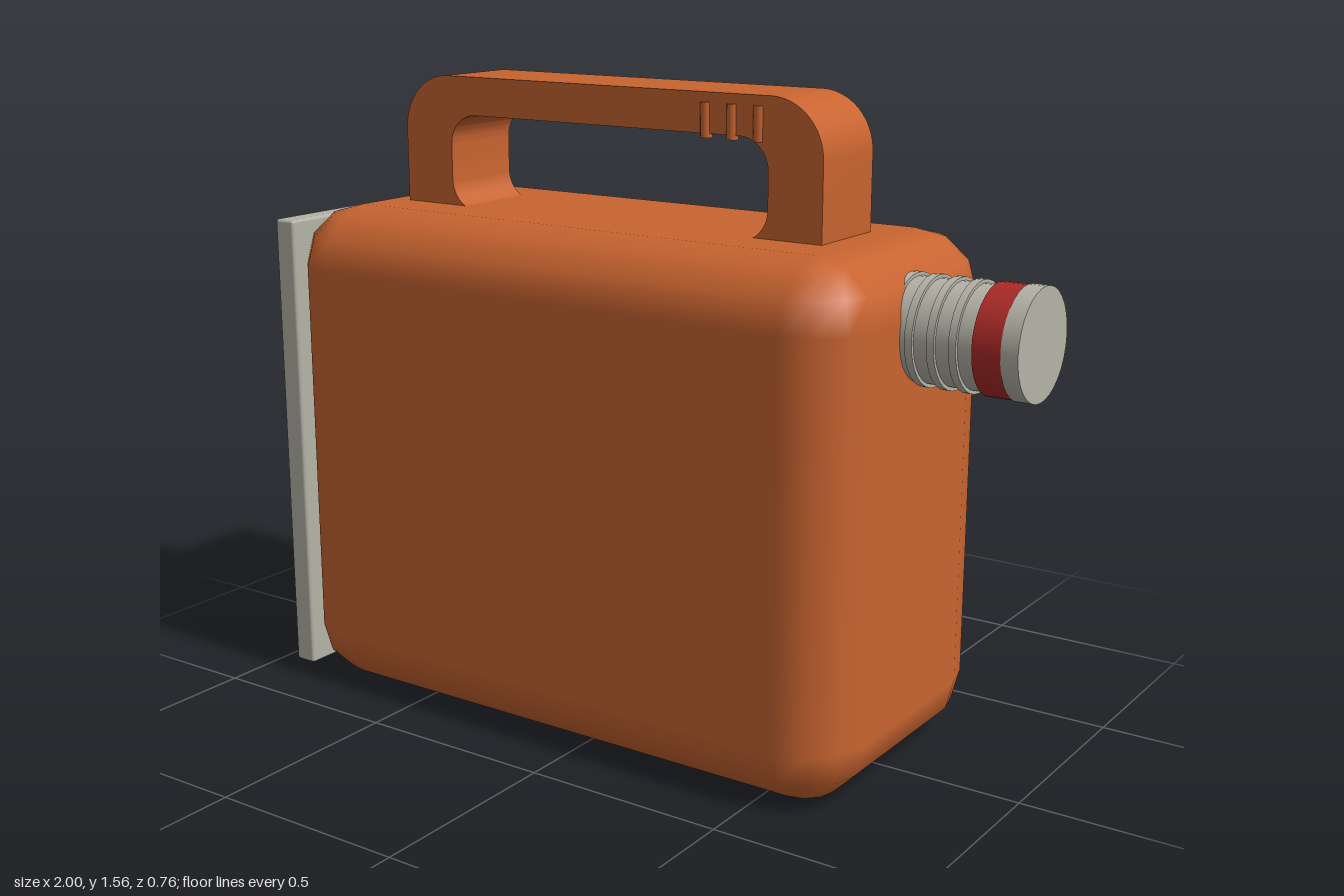
import * as THREE from 'three';
import { toCreasedNormals } from 'three/addons/utils/BufferGeometryUtils.js';
import { RoundedBoxGeometry } from 'three/addons/geometries/RoundedBoxGeometry.js';

const paint = (color) => new THREE.MeshStandardMaterial({ color, roughness: 0.8 });

// Box with rounded edges, lofted from rounded-rectangle rings
function softBox(w, h, d, r, steps) {
  const pos = [], nor = [], idx = [];
  const ring = 4 * (steps + 1), rows = 2 * (steps + 1);
  for (let j = 0; j < rows; j++) {
    const top = j > steps;
    const lat = ((top ? j - steps - 1 : j - steps) / steps) * Math.PI / 2;
    for (let c = 0; c < 4; c++) {
      const sx = c === 0 || c === 3 ? 1 : -1, sz = c < 2 ? 1 : -1;
      for (let k = 0; k <= steps; k++) {
        const a = (c + k / steps) * Math.PI / 2;
        const n = [Math.cos(lat) * Math.cos(a), Math.sin(lat), Math.cos(lat) * Math.sin(a)];
        pos.push(sx * (w / 2 - r) + r * n[0], (top ? 1 : -1) * (h / 2 - r) + r * n[1], sz * (d / 2 - r) + r * n[2]);
        nor.push(...n);
      }
    }
  }
  for (let j = 0; j < rows - 1; j++) {
    for (let i = 0; i < ring; i++) {
      const a = j * ring + i, b = j * ring + (i + 1) % ring;
      idx.push(a, a + ring, b, b, a + ring, b + ring);
    }
  }
  // Flat bottom and top between the four corners
  const q = steps + 1, t = (rows - 1) * ring;
  idx.push(0, q, 2 * q, 0, 2 * q, 3 * q, t, t + 2 * q, t + q, t, t + 3 * q, t + 2 * q);
  const g = new THREE.BufferGeometry();
  g.setAttribute('position', new THREE.Float32BufferAttribute(pos, 3));
  g.setAttribute('normal', new THREE.Float32BufferAttribute(nor, 3));
  g.setIndex(idx);
  return g;
}

function roundedRect(path, x0, y0, x1, y1, r) {
  path.moveTo(x0 + r, y0);
  path.lineTo(x1 - r, y0);
  path.absarc(x1 - r, y0 + r, r, -Math.PI / 2, 0);
  path.lineTo(x1, y1 - r);
  path.absarc(x1 - r, y1 - r, r, 0, Math.PI / 2);
  path.lineTo(x0 + r, y1);
  path.absarc(x0 + r, y1 - r, r, Math.PI / 2, Math.PI);
  path.lineTo(x0, y0 + r);
  path.absarc(x0 + r, y0 + r, r, Math.PI, Math.PI * 1.5);
  return path;
}

export function createModel() {
  const model = new THREE.Group();
  const orange = paint(0xc86430), grey = paint(0xb5b3a7), red = paint(0xac2a28);

  const add = (name, geometry, material, x = 0, y = 0, z = 0, parent = model) => {
    const mesh = new THREE.Mesh(geometry, material);
    mesh.name = name;
    mesh.position.set(x, y, z);
    parent.add(mesh);
    return mesh;
  };

  add('body', softBox(1.6, 1.245, 0.756, 0.15, 3), orange, -0.08, 0.6225, 0);

  // Carrying handle, its lower edge sunk into the body
  const outline = roundedRect(new THREE.Shape(), -0.68, 1.12, 0.52, 1.563, 0.135);
  outline.holes.push(roundedRect(new THREE.Path(), -0.535, 1.235, 0.38, 1.47, 0.075));
  const handle = new THREE.ExtrudeGeometry(outline, { depth: 0.224, bevelEnabled: false, curveSegments: 8 });
  handle.translate(0, 0, -0.112);
  add('handle', toCreasedNormals(handle, 0.6), orange);

  // Small upright grip ridges on the front of the handle
  for (let i = 0; i < 3; i++) {
    add('gripRidge', new THREE.CylinderGeometry(0.014, 0.014, 0.08, 12), orange, 0.212 + i * 0.07, 1.5, 0.106);
  }

  // End plate with its tab
  add('endPlate', new RoundedBoxGeometry(0.06, 1.175, 0.736, 2, 0.008), grey, -0.87, 0.6225, 0);
  add('plateTab', new RoundedBoxGeometry(0.11, 0.038, 0.2, 2, 0.005), grey, -0.945, 1.16, 0);

  // Ribbed spout pointing along +x
  const spout = new THREE.Group();
  spout.name = 'spout';
  spout.position.y = 1.062;
  model.add(spout);
  const disc = (name, r, x0, x1, material) => {
    const g = new THREE.CylinderGeometry(r, r, x1 - x0, 32);
    g.rotateZ(-Math.PI / 2);
    add(name, g, material, (x0 + x1) / 2, 0, 0, spout);
  };
  disc('spoutTube', 0.118, 0.6, 0.9, grey);
  for (let i = 0; i < 4; i++) {
    const x = 0.692 + i * 0.052;
    disc('spoutRib', 0.126, x - 0.009, x + 0.009, grey);
  }
  disc('spoutBand', 0.126, 0.893, 0.962, red);
  disc('spoutCap', 0.128, 0.96, 1.0, grey);

  return model;
}
